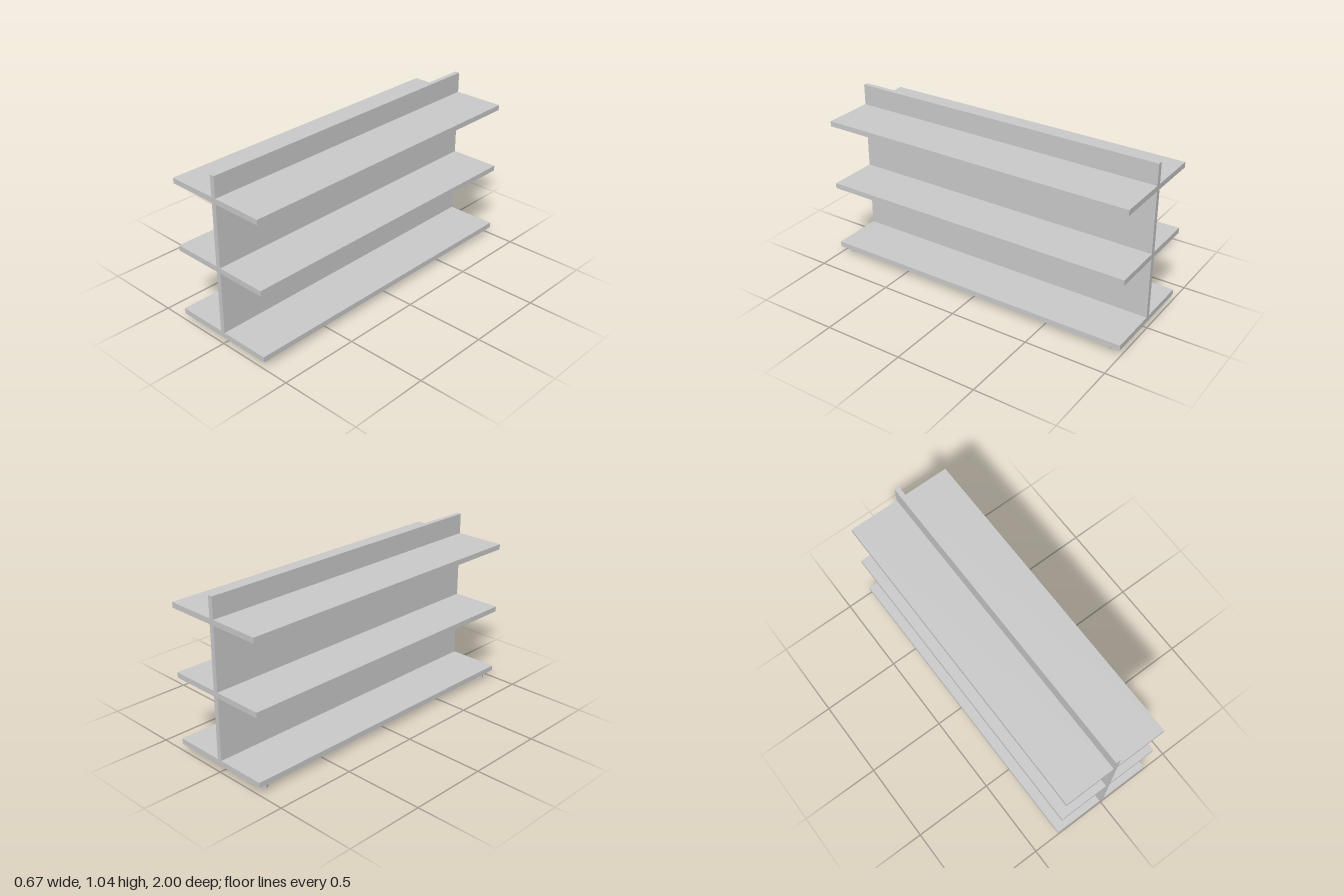
import * as THREE from 'three';

const material = new THREE.MeshStandardMaterial({ color: 0xcccccc, flatShading: true });

const LENGTH = 2;
const HALF_WIDTH = 0.333;
const SHELF_THICKNESS = 0.033;
const SHELF_BOTTOMS = [0.044, 0.461, 0.878];
const PANEL = { left: -0.016, right: 0.014, top: 1.04 };
const FOOT = { radius: 0.031, height: 0.044 };

// Outline of the central panel with its shelves, seen from the end
function rackShape() {
  const side = (panelX, shelfX) => SHELF_BOTTOMS.flatMap((y) => [
    [panelX, y], [shelfX, y], [shelfX, y + SHELF_THICKNESS], [panelX, y + SHELF_THICKNESS],
  ]);
  const outline = [
    ...side(PANEL.right, HALF_WIDTH),
    [PANEL.right, PANEL.top],
    [PANEL.left, PANEL.top],
    ...side(PANEL.left, -HALF_WIDTH).reverse(),
  ];
  return new THREE.Shape(outline.map(([x, y]) => new THREE.Vector2(x, y)));
}

export function createModel() {
  const group = new THREE.Group();
  group.name = 'doubleSidedShelf';

  // Panel and shelves in one continuous body
  const rackGeometry = new THREE.ExtrudeGeometry(rackShape(), { depth: LENGTH, bevelEnabled: false });
  rackGeometry.translate(0, 0, -LENGTH / 2);
  const rack = new THREE.Mesh(rackGeometry, material);
  rack.name = 'panelAndShelves';
  group.add(rack);

  // Octagonal feet near the corners of the base shelf
  const footGeometry = new THREE.CylinderGeometry(FOOT.radius, FOOT.radius, FOOT.height, 8);
  for (const [xName, x] of [['Right', -0.273], ['Left', 0.264]]) {
    for (const [zName, z] of [['front', 0.937], ['back', -0.93]]) {
      const foot = new THREE.Mesh(footGeometry, material);
      foot.name = `${zName}${xName}Foot`;
      foot.position.set(x, FOOT.height / 2, z);
      group.add(foot);
    }
  }

  return group;
}
